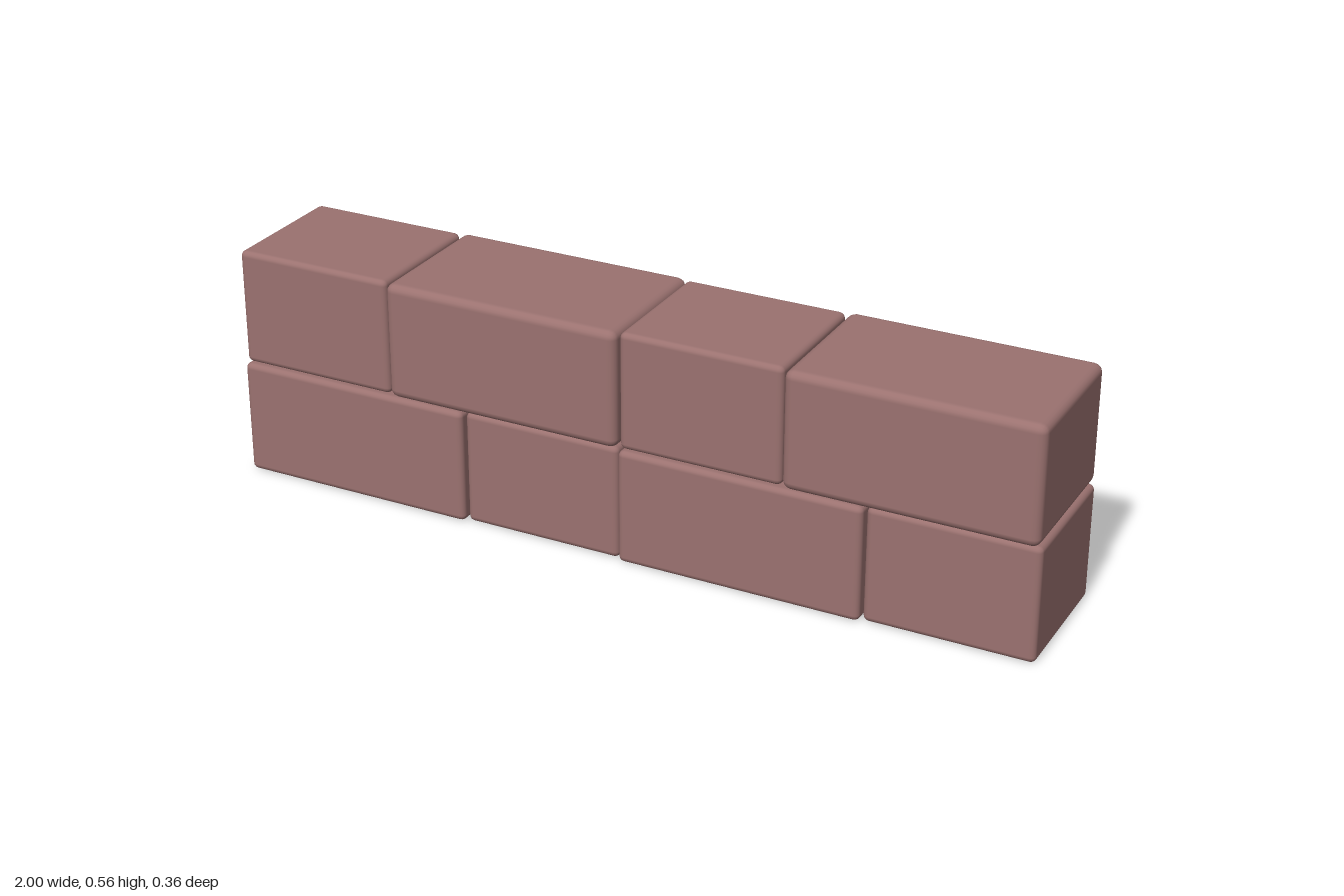
import * as THREE from 'three';
import { RoundedBoxGeometry } from 'three/addons/geometries/RoundedBoxGeometry.js';

export function createModel() {
  const wall = new THREE.Group();
  wall.name = 'brickWall';
  const material = new THREE.MeshStandardMaterial({ color: 0x9b7270 });

  // One softly bevelled brick filling the box between two corners
  function addBrick(name, x0, x1, y0, y1, z0, z1, radius) {
    const geometry = new RoundedBoxGeometry(x1 - x0, y1 - y0, z1 - z0, 2, radius);
    const brick = new THREE.Mesh(geometry, material);
    brick.name = name;
    brick.position.set((x0 + x1) / 2, (y0 + y1) / 2, (z0 + z1) / 2);
    wall.add(brick);
  }

  // Two courses of alternating long and short bricks with staggered joints
  const gap = 0.002;
  const courses = [
    { name: 'lower', y0: 0, y1: 0.281, joints: [-1, -0.4, 0, 0.597, 0.997] },
    { name: 'upper', y0: 0.281, y1: 0.565, joints: [-1, -0.597, 0, 0.4, 0.992] },
  ];
  for (const { name, y0, y1, joints } of courses) {
    for (let i = 0; i < 4; i++) {
      const x0 = joints[i] + (i ? gap : 0);
      const x1 = joints[i + 1] - (i < 3 ? gap : 0);
      const long = x1 - x0 > 0.5;
      // Long bricks stand slightly proud of the short ones
      const halfDepth = long ? 0.179 : 0.168;
      const radius = long && name === 'upper' ? 0.02 : 0.014;
      addBrick(`${name}${long ? 'Long' : 'Short'}Brick${i + 1}`,
        x0, x1, y0, y1, -halfDepth, halfDepth, radius);
    }
  }
  return wall;
}
